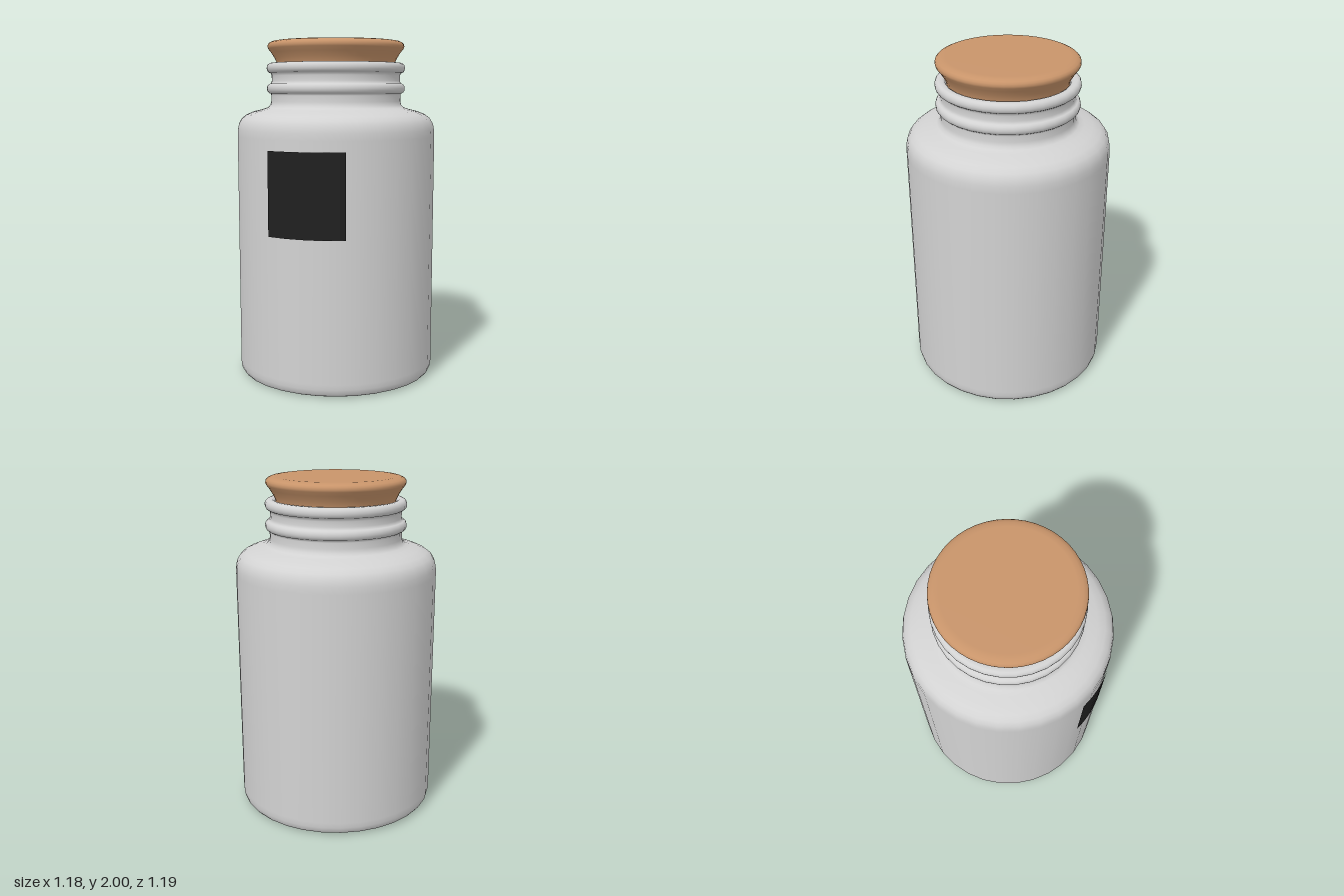
import * as THREE from 'three';

const material = (name, color) => {
  const m = new THREE.MeshStandardMaterial({ color });
  m.name = name;
  return m;
};

// Revolve an [radius, height] profile, listed from bottom to top on the outside
function turned(name, profile, segments, mat) {
  const points = profile.map(([r, y]) => new THREE.Vector2(r, y));
  const mesh = new THREE.Mesh(new THREE.LatheGeometry(points, segments), mat);
  mesh.name = name;
  return mesh;
}

// Rounded thread ring bulging out from the neck
function threadRing(y) {
  const ring = [];
  for (let i = 0; i <= 8; i++) {
    const a = -Math.PI / 2 + (i / 8) * Math.PI;
    ring.push([0.389 + 0.025 * Math.cos(a), y + 0.03 * Math.sin(a)]);
  }
  return ring;
}

export function createModel() {
  const glazed = material('pale grey', 0xd2d2d2);
  const cork = material('cork brown', 0xc8946a);
  const black = material('label black', 0x202020);
  const group = new THREE.Group();
  group.name = 'corkedJar';

  // Body: flat base, straight wall and rounded shoulder
  const body = [
    [0, 0], [0.54, 0], [0.555, 0.002], [0.573, 0.01], [0.585, 0.025], [0.591, 0.05], [0.592, 0.08],
    [0.592, 1.44], [0.59, 1.48], [0.583, 1.515], [0.565, 1.545], [0.535, 1.568], [0.49, 1.586],
    [0.44, 1.598], [0.41, 1.608], [0.394, 1.622], [0.388, 1.645], [0.388, 1.68],
  ];
  // Neck: two thread rings, then the lip turning down into the mouth
  const neck = [
    ...threadRing(1.72), [0.384, 1.765], [0.384, 1.795],
    ...threadRing(1.84), [0.37, 1.87], [0.358, 1.864], [0.35, 1.85], [0.348, 1.8], [0.348, 1.66],
  ];
  group.add(turned('jar', [...body, ...neck], 32, glazed));

  // Stopper: tapered plug flaring to a soft-edged flat top
  group.add(turned('stopper', [
    [0, 1.7], [0.32, 1.7], [0.33, 1.71], [0.346, 1.84], [0.352, 1.87], [0.366, 1.9], [0.385, 1.93],
    [0.403, 1.953], [0.407, 1.965], [0.405, 1.978], [0.396, 1.988], [0.378, 1.996], [0.35, 2], [0, 2],
  ], 48, cork));

  // Label: thin curved sheet wrapped on the front
  const start = Math.asin(-0.18 / 0.597);
  const end = Math.asin(0.27 / 0.597);
  const sheet = new THREE.CylinderGeometry(0.597, 0.597, 0.48, 12, 1, true, start, end - start);
  const label = new THREE.Mesh(sheet, black);
  label.name = 'label';
  label.position.y = 1.14;
  group.add(label);

  return group;
}
